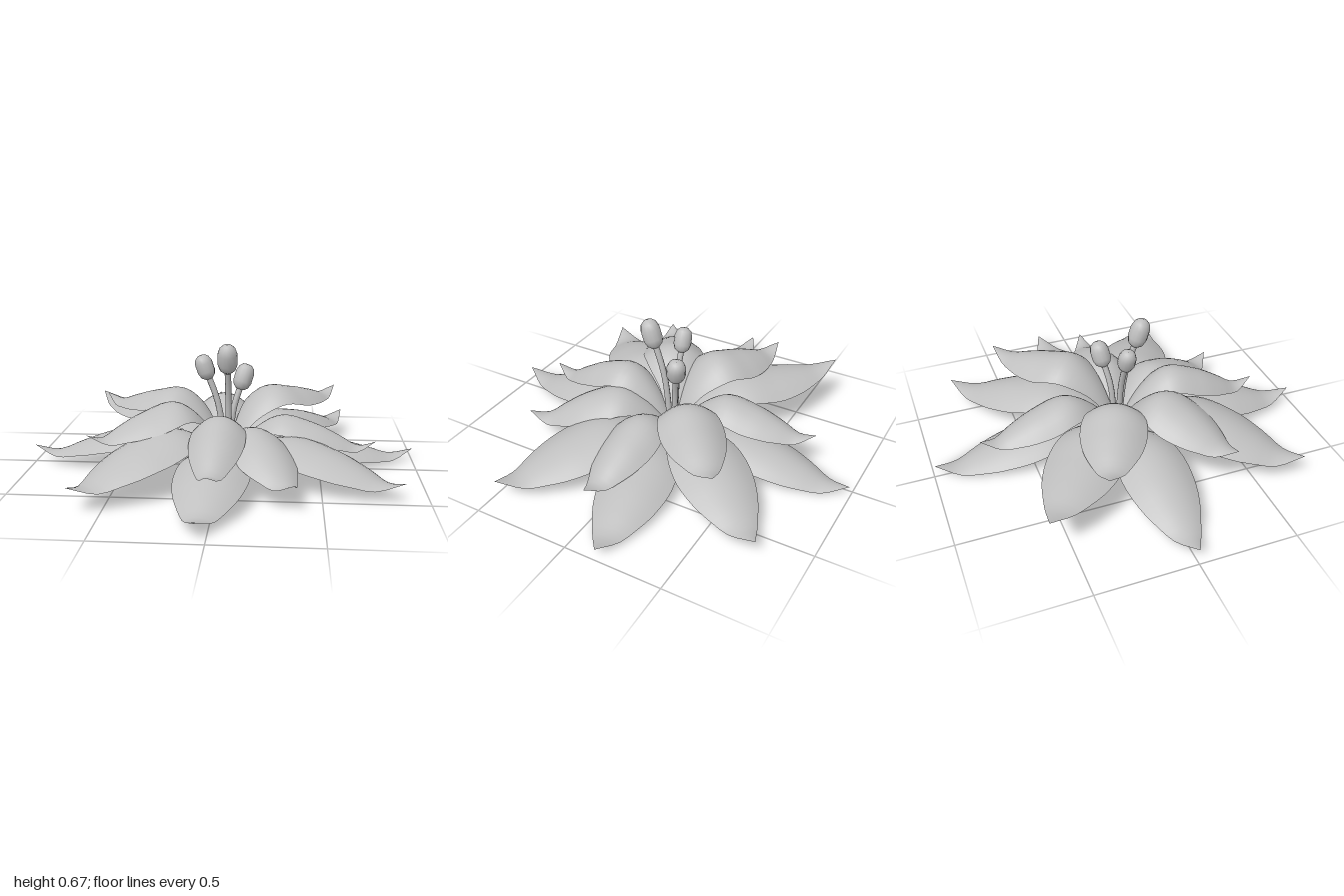
import * as THREE from 'three';

const CENTER = new THREE.Vector3(0.02, 0, -0.01);

// tipX, tipZ, tipY, crest height, half width
const OUTER = [
  [0.025, -0.99, 0.045, 0.15, 0.17],
  [0.655, -0.775, 0.11, 0.22, 0.19],
  [1.0, -0.165, 0.065, 0.15, 0.18],
  [0.885, 0.485, 0.1, 0.21, 0.2],
  [-0.05, 0.985, 0.085, 0.2, 0.18],
  [-0.65, 0.735, 0.13, 0.27, 0.2],
  [-1.0, 0.0, 0.09, 0.21, 0.175],
  [-0.755, -0.612, 0.24, 0.27, 0.19],
];
const INNER = [
  [-0.07, -0.765, 0.21, 0.31, 0.14],
  [0.595, -0.53, 0.32, 0.38, 0.16],
  [0.785, 0.035, 0.16, 0.28, 0.14],
  [0.37, 0.665, 0.14, 0.28, 0.16],
  [-0.02, 0.755, 0.2, 0.345, 0.135],
  [-0.635, 0.365, 0.26, 0.37, 0.165],
  [-0.665, -0.3, 0.31, 0.38, 0.165],
];

// Pointed leaf outline: share of the half width along the length
const outline = new THREE.SplineCurve([
  [0, 0.06], [0.15, 0.42], [0.32, 0.84], [0.5, 1], [0.68, 0.85], [0.85, 0.46], [1, 0],
].map(([t, w]) => new THREE.Vector2(t, w)));

// Height of a spline at a given distance along the petal
function heightAt(curve, x) {
  let lo = 0, hi = 1;
  for (let k = 0; k < 20; k++) {
    const mid = (lo + hi) / 2;
    if (curve.getPoint(mid).x < x) lo = mid; else hi = mid;
  }
  return curve.getPoint(lo).y;
}

// Arched petal: a crest line that rises, droops and lifts at the tip,
// with both edges curling down
function petalGeometry([tipX, tipZ, tipY, peak, halfWidth], base, curl) {
  const dx = tipX - CENTER.x, dz = tipZ - CENTER.z;
  const length = Math.hypot(dx, dz);
  const sx = -dz / length, sz = dx / length;
  const dip = tipY - 0.025;
  const crest = new THREE.SplineCurve([
    [0, base], [0.16, base + (peak - base) * 0.62], [0.36, peak],
    [0.58, dip + (peak - dip) * 0.76], [0.75, dip + (peak - dip) * 0.35], [0.88, dip], [1, tipY],
  ].map(([t, y]) => new THREE.Vector2(t, y)));

  const rows = 24, cols = 10, positions = [], indices = [];
  for (let i = 0; i <= rows; i++) {
    const t = i / rows;
    const y = heightAt(crest, t);
    const share = i === rows ? 0 : heightAt(outline, t);
    for (let j = 0; j <= cols; j++) {
      const u = (j / cols) * 2 - 1;
      const off = u * halfWidth * share;
      const drop = curl * Math.pow(share, 1.4) * u * u;
      positions.push(CENTER.x + dx * t + sx * off, y - drop, CENTER.z + dz * t + sz * off);
      if (i < rows && j < cols) {
        const a = i * (cols + 1) + j, b = a + cols + 1;
        indices.push(a, a + 1, b, a + 1, b + 1, b);
      }
    }
  }
  const geometry = new THREE.BufferGeometry();
  geometry.setAttribute('position', new THREE.Float32BufferAttribute(positions, 3));
  geometry.setIndex(indices);
  geometry.computeVertexNormals();
  return geometry;
}

// Barrel-shaped anther with blunt rounded ends
function antherGeometry(r, h) {
  const profile = [[0, -1], [0.45, -0.95], [0.8, -0.74], [1, -0.35], [1, 0.35], [0.8, 0.74], [0.45, 0.95], [0, 1]];
  return new THREE.LatheGeometry(profile.map(([x, y]) => new THREE.Vector2(x * r, y * h)), 14);
}

export function createModel() {
  const model = new THREE.Group();
  model.name = 'flower';
  const grey = new THREE.MeshStandardMaterial({ color: 0xc0c0c0, side: THREE.DoubleSide });
  grey.name = 'soft grey';

  const add = (parent, name, geometry) => {
    const mesh = new THREE.Mesh(geometry, grey);
    mesh.name = name;
    parent.add(mesh);
    return mesh;
  };

  // Two rings of petals
  const rings = [['outerPetal', OUTER, 0.02, 0.07], ['innerPetal', INNER, 0.04, 0.08]];
  for (const [name, petals, base, curl] of rings) {
    const ring = new THREE.Group();
    ring.name = name + 's';
    petals.forEach((p, i) => add(ring, name + (i + 1), petalGeometry(p, base, curl)));
    model.add(ring);
  }

  // Stamens: curved filament with an anther leaning outwards
  const stamens = [
    { root: [0.01, 0.03, -0.01], mid: [-0.025, 0.33, -0.005], top: [-0.093, 0.526, 0.0], r: 0.045, h: 0.066 },
    { root: [0.03, 0.03, 0.0], mid: [0.03, 0.37, 0.04], top: [0.03, 0.592, 0.112], r: 0.05, h: 0.078 },
    { root: [0.035, 0.03, -0.02], mid: [0.05, 0.29, -0.035], top: [0.102, 0.463, -0.07], r: 0.049, h: 0.07 },
  ];
  stamens.forEach(({ root, mid, top, r, h }, i) => {
    const stamen = new THREE.Group();
    stamen.name = 'stamen' + (i + 1);
    const end = new THREE.Vector3(...top);
    const bend = new THREE.Vector3(...mid);
    const path = new THREE.CatmullRomCurve3([new THREE.Vector3(...root), bend, end]);
    add(stamen, 'filament', new THREE.TubeGeometry(path, 16, 0.016, 8));
    const anther = add(stamen, 'anther', antherGeometry(r, h));
    anther.position.copy(end);
    anther.quaternion.setFromUnitVectors(new THREE.Vector3(0, 1, 0), end.clone().sub(bend).normalize());
    model.add(stamen);
  });

  // Short stem under the flower
  const stem = add(model, 'stem', new THREE.CylinderGeometry(0.018, 0.016, 0.05, 12));
  stem.position.set(0.035, 0.025, -0.02);

  return model;
}
